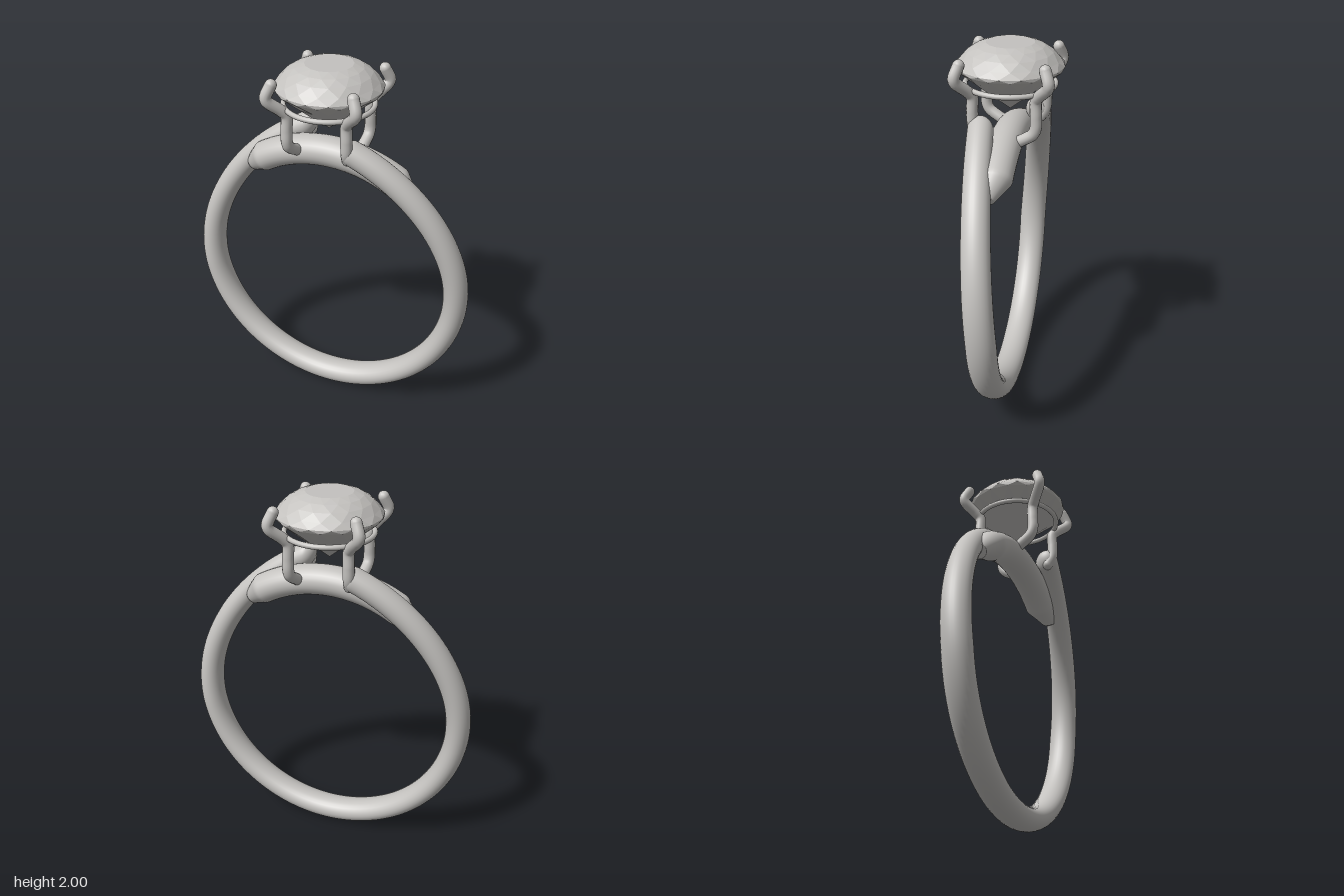
import * as THREE from 'three';

const CY = 0.795; // height of the ring centre
const RAD = Math.PI / 180;

// Sweeps an elliptical section around the ring centre.
// section(t) gives: a (degrees from the top), r, z, hr and hz (half sizes)
function sweep(section, rings, sides = 28) {
  const pos = [], idx = [];
  for (let i = 0; i <= rings; i++) {
    const t = 0.5 - 0.5 * Math.cos(Math.PI * i / rings); // denser at the ends
    const { a, r, z, hr, hz } = section(t);
    for (let j = 0; j < sides; j++) {
      const b = 2 * Math.PI * j / sides;
      const d = r + hr * Math.cos(b);
      pos.push(d * Math.sin(a * RAD), CY + d * Math.cos(a * RAD), z + hz * Math.sin(b));
      if (i === rings) continue;
      const p = i * sides + j, q = i * sides + (j + 1) % sides;
      idx.push(p, q, p + sides, q, q + sides, p + sides);
    }
  }
  const geo = new THREE.BufferGeometry();
  geo.setAttribute('position', new THREE.Float32BufferAttribute(pos, 3));
  geo.setIndex(idx);
  geo.computeVertexNormals();
  return geo;
}

// Faceted stone from rings of [radius, y, half-step turn]
function facetedStone(rings, n) {
  const pos = [];
  let turn = 0;
  const pts = rings.map(([r, y, half]) => {
    turn += half * 0.5;
    return Array.from({ length: n + 1 }, (_, j) => {
      const t = (j + turn) * 2 * Math.PI / n;
      return [r * Math.cos(t), y, r * Math.sin(t)];
    });
  });
  for (let i = 0; i < rings.length - 1; i++) {
    for (let j = 0; j < n; j++) {
      const A = pts[i], B = pts[i + 1];
      if (rings[i][0] > 0) pos.push(...A[j], ...A[j + 1], ...B[j]);
      if (rings[i + 1][0] > 0) pos.push(...A[j + 1], ...B[j + 1], ...B[j]);
    }
  }
  const geo = new THREE.BufferGeometry();
  geo.setAttribute('position', new THREE.Float32BufferAttribute(pos, 3));
  geo.computeVertexNormals();
  return geo;
}

export function createModel() {
  const model = new THREE.Group();
  const metal = new THREE.MeshStandardMaterial({ color: 0xc4c2bf });
  metal.name = 'paleMetal';

  const add = (name, geo, parent = model) => {
    const mesh = new THREE.Mesh(geo, metal);
    mesh.name = name;
    parent.add(mesh);
    return mesh;
  };

  // Band: its two arms rise and swing apart, one forward and one back
  add('band', sweep((t) => {
    const start = 8.5;
    const a = start + t * (360 - 2 * start);
    const e = Math.min(a, 360 - a);
    const side = a < 180 ? 1 : -1;
    const lift = Math.max(0, (72 - e) / 61);
    const swing = Math.max(0, (100 - e) / 89);
    const u = Math.min(1, (e - start) / 4);
    const cap = Math.sqrt(Math.max(0, 1 - (1 - u) ** 2));
    return {
      a,
      r: 0.73 + 0.098 * lift ** 2.3,
      z: side * 0.118 * swing ** 1.4,
      hr: 0.065 * cap,
      hz: (0.079 - 0.012 * Math.min(1, swing)) * cap,
    };
  }, 180));

  // Bridge: arc below the stone, tapering into the arms
  add('bridge', sweep((t) => {
    const a = -40 + 80 * t;
    const u = Math.min(1, (40 - Math.abs(a)) / 9);
    const s = u < 0.02 ? 0 : 0.5 + 0.5 * u;
    return {
      a,
      r: 0.73 - 0.012 * (1 - u),
      z: Math.sign(a) * 0.03 * (1 - u),
      hr: 0.08 * s,
      hz: 0.088 * s,
    };
  }, 80));

  // Stone: table, staggered crown facets, thin girdle and pointed pavilion
  add('stone', facetedStone([
    [0, 2.0, 0], [0.122, 2.0, 0], [0.172, 1.983, 1], [0.216, 1.956, 1],
    [0.252, 1.92, 1], [0.276, 1.89, 1], [0.27, 1.872, 1],
    [0.195, 1.81, 1], [0.115, 1.745, 0], [0, 1.655, 0],
  ], 16));

  // Gallery ring under the girdle
  const gallery = add('galleryRing', new THREE.TorusGeometry(0.228, 0.014, 12, 64));
  gallery.rotation.x = Math.PI / 2;
  gallery.position.y = 1.792;

  // Prongs: two grow from the arms and two from the bridge
  const upper = (s) => [
    [s * 0.16, 1.68, 0.16], [s * 0.16, 1.76, 0.16], [s * 0.178, 1.79, 0.178],
    [s * 0.228, 1.848, 0.226], [s * 0.234, 1.87, 0.23], [s * 0.212, 1.93, 0.21],
  ];
  const paths = {
    armProng: [[0.155, 1.565, 0.13], [0.16, 1.61, 0.155], ...upper(1)],
    bridgeProng: [[-0.148, 1.535, 0.07], [-0.158, 1.585, 0.145], [-0.16, 1.62, 0.16], ...upper(-1)],
  };
  for (const turn of [0, Math.PI]) {
    for (const [name, path] of Object.entries(paths)) {
      const prong = new THREE.Group();
      prong.name = name;
      prong.rotation.y = turn;
      model.add(prong);
      const pts = path.map((p) => new THREE.Vector3(...p));
      add('prongStem', new THREE.TubeGeometry(new THREE.CatmullRomCurve3(pts), 48, 0.03, 14), prong);
      for (const end of [pts[0], pts[pts.length - 1]]) {
        add('prongTip', new THREE.SphereGeometry(0.03, 14, 10), prong).position.copy(end);
      }
    }
  }
  return model;
}
